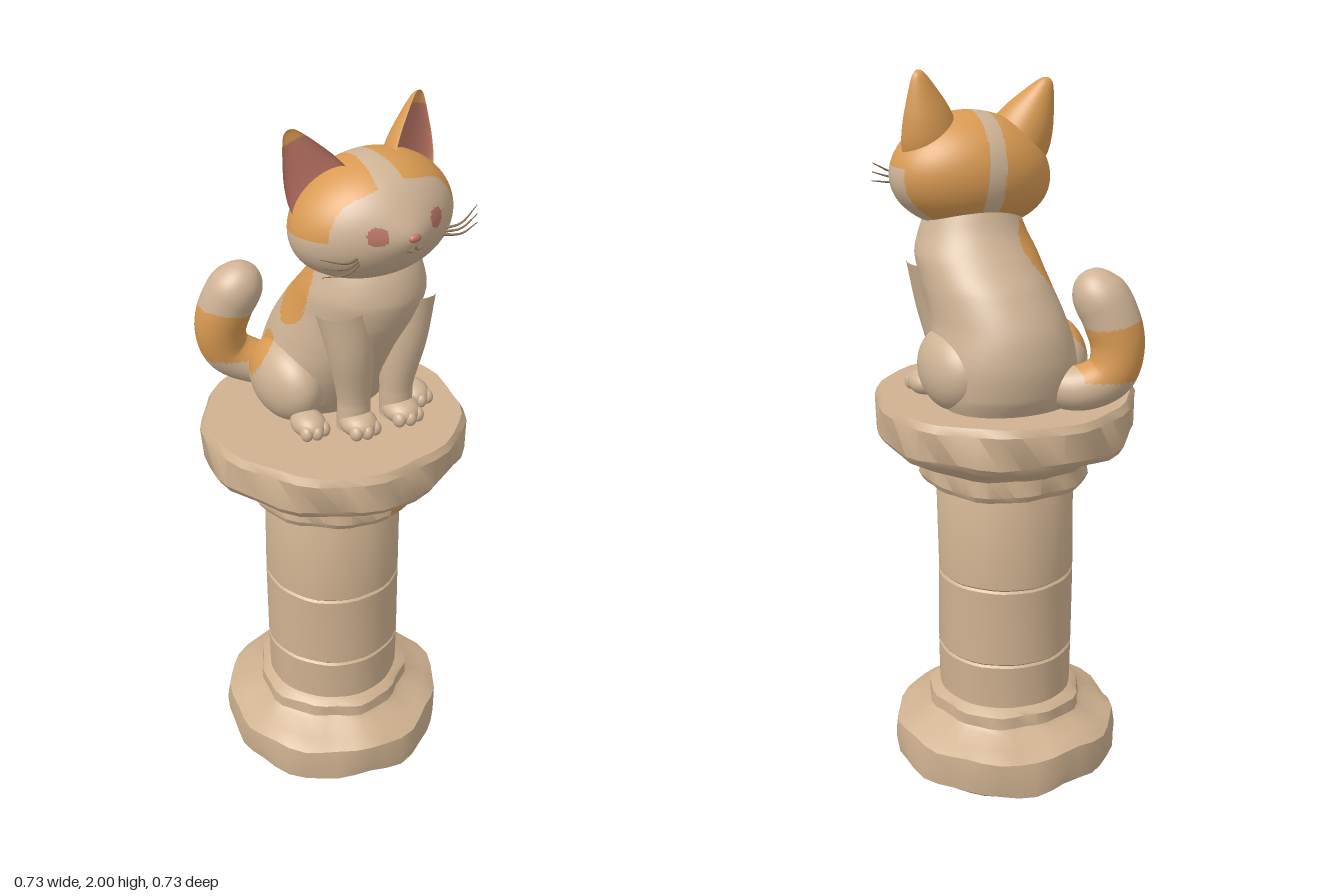
import * as THREE from 'three';
import { mergeVertices, toCreasedNormals } from 'three/addons/utils/BufferGeometryUtils.js';

const material = (name, color, side = THREE.FrontSide) => {
  const m = new THREE.MeshStandardMaterial({ color, side });
  m.name = name;
  return m;
};

// Move every vertex by a rule, weld seams and smooth the normals
function reshape(geo, rule) {
  const p = geo.attributes.position, v = new THREE.Vector3();
  for (let i = 0; i < p.count; i++) {
    v.fromBufferAttribute(p, i);
    rule(v, i);
    p.setXYZ(i, v.x, v.y, v.z);
  }
  geo.deleteAttribute('uv');
  geo.deleteAttribute('normal');
  const out = mergeVertices(geo, 1e-5);
  out.computeVertexNormals();
  return out;
}

// Sort faces into material groups; rule(centroid) returns a material slot
function paint(geo, slots, rule) {
  const p = geo.attributes.position, idx = geo.index.array;
  const lists = Array.from({ length: slots }, () => []);
  const a = new THREE.Vector3(), c = new THREE.Vector3();
  for (let i = 0; i < idx.length; i += 3) {
    c.set(0, 0, 0);
    for (let k = 0; k < 3; k++) c.add(a.fromBufferAttribute(p, idx[i + k]));
    lists[rule(c.divideScalar(3))].push(idx[i], idx[i + 1], idx[i + 2]);
  }
  geo.setIndex(lists.flat());
  geo.clearGroups();
  let start = 0;
  lists.forEach((l, s) => { geo.addGroup(start, l.length, s); start += l.length; });
  return geo;
}

// Tube along points whose radius follows radius(t)
function limb(points, radius, n = 48, sides = 24) {
  const curve = new THREE.CatmullRomCurve3(points.map(q => new THREE.Vector3(...q)));
  const geo = new THREE.TubeGeometry(curve, n, 1, sides);
  return reshape(geo, (v, i) => {
    const t = Math.floor(i / (sides + 1)) / n, c = curve.getPointAt(t);
    v.sub(c).multiplyScalar(radius(t)).add(c);
  });
}

const inside = (p, c, r) =>
  ((p.x - c[0]) / r[0]) ** 2 + ((p.y - c[1]) / r[1]) ** 2 + ((p.z - c[2]) / r[2]) ** 2 < 1;

export function createModel() {
  const model = new THREE.Group();
  const stone = material('stone', 0xcfb190);
  const fur = material('cream fur', 0xcfb395);
  const orange = material('orange fur', 0xd99a52);
  const pink = material('pink', 0xbd7565);
  const brown = material('whisker brown', 0x8f755a);
  const rust = material('rust stain', 0xcb9459, THREE.DoubleSide);

  const add = (parent, name, geo, mat, pos = [0, 0, 0], scale = [1, 1, 1]) => {
    const m = new THREE.Mesh(geo, mat);
    m.name = name;
    m.position.set(...pos);
    m.scale.set(...scale);
    parent.add(m);
    return m;
  };

  // Weathered stone pedestal: plinth, jointed shaft and capital
  const profile = [[0, 0], [0.29, 0], [0.32, 0.02], [0.325, 0.07], [0.32, 0.125], [0.285, 0.148],
    [0.235, 0.168], [0.222, 0.18], [0.22, 0.215], [0.205, 0.226], [0.193, 0.232], [0.195, 0.36], [0.189, 0.366],
    [0.195, 0.372], [0.194, 0.594], [0.188, 0.6], [0.194, 0.606], [0.194, 0.865], [0.19, 0.875],
    [0.225, 0.882], [0.235, 0.9], [0.232, 0.945], [0.25, 0.958], [0.3, 0.985], [0.345, 1.008], [0.36, 1.03],
    [0.362, 1.115], [0.35, 1.135], [0.2, 1.136], [0, 1.136]].map(q => new THREE.Vector2(...q));
  const pedestal = reshape(new THREE.LatheGeometry(profile, 40), v => {
    const a = Math.atan2(v.x, v.z), r = Math.hypot(v.x, v.z);
    if (r < 1e-4) return;
    const rough = r > 0.21 ? 0.009 : 0.002;
    const k = 1 + rough / r * (Math.sin(5 * a + 9 * v.y) + 0.8 * Math.sin(11 * a - 14 * v.y)) * 0.6;
    v.x *= k;
    v.z *= k;
    if (r > 0.24 && v.y > 0.01 && v.y < 1.1) v.y += 0.006 * Math.sin(7 * a + r * 30);
  });
  add(model, 'pedestal', toCreasedNormals(pedestal, 0.55), stone);
  add(model, 'capitalStain', new THREE.CylinderGeometry(0.247, 0.244, 0.045, 10, 1, true, 0.18, 0.36), rust, [0, 0.918, 0]);

  // Seated torso from cross-sections: y, centre x, back z, front z, half width
  const cat = new THREE.Group();
  cat.name = 'cat';
  model.add(cat);
  const rings = [[1.12, 0.035, -0.235, 0.02, 0.175], [1.18, 0.035, -0.265, 0.06, 0.195], [1.27, 0.04, -0.275, 0.11, 0.195],
    [1.36, 0.045, -0.255, 0.155, 0.178], [1.45, 0.06, -0.2, 0.195, 0.17], [1.52, 0.068, -0.135, 0.212, 0.165],
    [1.58, 0.07, -0.085, 0.2, 0.145], [1.65, 0.07, -0.05, 0.165, 0.12]];
  const spine = new THREE.CatmullRomCurve3(rings.map(r => new THREE.Vector3(r[1], r[0], (r[2] + r[3]) / 2)));
  const girth = new THREE.CatmullRomCurve3(rings.map(r => new THREE.Vector3(r[4], 0, (r[3] - r[2]) / 2)));
  const torso = reshape(new THREE.CylinderGeometry(1, 1, 1, 96, 72, true), v => {
    const t = v.y + 0.5, c = spine.getPoint(t), g = girth.getPoint(t);
    v.set(c.x + v.x * g.x, c.y, c.z + v.z * g.z);
  });
  const patch = p => inside(p, [-0.09, 1.52, -0.05], [0.09, 0.12, 0.09])
    || inside(p, [-0.175, 1.31, -0.12], [0.07, 0.07, 0.06]) ? 1 : 0;
  add(cat, 'torso', paint(torso, 2, patch), [fur, orange]);

  const ball = new THREE.SphereGeometry(1, 28, 18);
  for (const s of [1, -1]) {
    const side = s > 0 ? 'left' : 'right';
    // Thighs, front legs and paws with toes
    const thigh = reshape(new THREE.SphereGeometry(1, 56, 40), v =>
      v.set(0.035 + s * 0.145 + v.x * 0.088, 1.235 + v.y * 0.115, -0.06 + v.z * 0.14));
    add(cat, side + 'Thigh', paint(thigh, 2, patch), [fur, orange]);
    const x = 0.065 + s * 0.068;
    add(cat, side + 'FrontLeg', limb([[x + s * 0.03, 1.5, 0.11], [x + s * 0.016, 1.38, 0.122], [x, 1.25, 0.115], [x, 1.14, 0.115]],
      t => 0.075 - 0.03 * Math.min(1, t * 1.3)), fur);
    for (const [name, px, pz, w] of [['FrontPaw', x, 0.14, 0.05], ['HindPaw', 0.045 + s * 0.165, 0.075, 0.045]]) {
      add(cat, side + name, ball, fur, [px, 1.163, pz], [w, 0.036, 0.058]);
      for (const k of [-1, 0, 1])
        add(cat, side + name + 'Toe', ball, fur, [px + k * w * 0.58, 1.156, pz + 0.045 - Math.abs(k) * 0.008], [0.017, 0.022, 0.021]);
    }
  }

  // Upright curled tail with one orange band
  const tail = limb([[-0.02, 1.2, -0.17], [-0.11, 1.195, -0.245], [-0.175, 1.235, -0.28], [-0.195, 1.31, -0.28],
    [-0.175, 1.4, -0.262], [-0.145, 1.46, -0.24], [-0.125, 1.505, -0.225]], t => {
    const k = Math.max(0, (t - 0.8) / 0.2);
    return (0.055 + 0.02 * Math.min(1, t * 1.5)) * Math.sqrt(Math.max(0, 1 - k * k));
  }, 90, 36);
  add(cat, 'tail', paint(tail, 2, p => p.y > 1.225 && p.y < 1.375 - (p.x + 0.19) * 0.2 && p.x < -0.09 ? 1 : 0), [fur, orange]);

  // Head with painted cap, pale centre stripe and pink cheeks
  const head = new THREE.Group();
  head.name = 'head';
  head.position.set(0.065, 1.733, 0.08);
  head.rotation.z = 0.09;
  cat.add(head);
  const skull = reshape(new THREE.SphereGeometry(1, 160, 110), v => {
    const bump = v.z > 0 ? 0.018 * Math.exp(-(v.x * v.x * 9 + v.y * v.y * 9)) : 0;
    const taper = 1 - 0.1 * v.y - 0.1 * Math.max(0, v.z);
    v.set(v.x * 0.225 * taper, v.y * 0.157, v.z > 0 ? v.z * 0.182 + bump : v.z * 0.165);
  });
  const headColour = p => {
    const ax = Math.abs(p.x);
    if (p.z > 0.08 && Math.hypot(ax - 0.084, p.y - 0.018) < 0.024) return 2;
    const stripe = 0.024 + Math.max(0, p.z) * 0.12;
    const cap = p.y > 0.005 && p.z < 0.105 + 0.012 * Math.sin(ax * 30);
    return Math.abs(p.x + 0.008) > stripe && (cap || p.z < -0.06) ? 1 : 0;
  };
  add(head, 'skull', paint(skull, 3, headColour), [fur, orange, pink]);
  add(head, 'nose', ball, pink, [0, 0.002, 0.198], [0.017, 0.011, 0.01]);

  // Cupped ears, pink inside
  const earProfile = [[0.088, 0], [0.085, 0.04], [0.07, 0.09], [0.047, 0.14], [0.027, 0.178], [0.014, 0.196], [0, 0.202]];
  const earCurve = new THREE.SplineCurve(earProfile.map(q => new THREE.Vector2(...q)));
  const makeEar = () => {
    const geo = reshape(new THREE.LatheGeometry(earCurve.getPoints(36), 64), v => {
      v.z *= v.z > 0 ? -0.3 : 1;
    });
    const n = geo.attributes.normal;
    const idx = Array.from(geo.index.array), front = new Set();
    for (let i = 0; i < n.count; i++) if (n.getZ(i) > 0.1) front.add(i);
    const inner = idx.filter((_, i) => {
      const f = i - i % 3;
      return front.has(idx[f]) && front.has(idx[f + 1]) && front.has(idx[f + 2])
        && geo.attributes.position.getY(idx[f]) < 0.17;
    });
    const outer = idx.filter((_, i) => {
      const f = i - i % 3;
      return !(front.has(idx[f]) && front.has(idx[f + 1]) && front.has(idx[f + 2])
        && geo.attributes.position.getY(idx[f]) < 0.17);
    });
    geo.setIndex([...outer, ...inner]);
    geo.addGroup(0, outer.length, 0);
    geo.addGroup(outer.length, inner.length, 1);
    return geo;
  };
  const earGeo = makeEar();
  for (const s of [1, -1]) {
    const side = s > 0 ? 'left' : 'right';
    const ear = add(head, side + 'Ear', earGeo, [orange, pink], [s * 0.128, 0.066, 0.005]);
    ear.rotation.set(-0.12, s * 0.4, -s * 0.33);
    // Mouth curve and whiskers
    add(head, side + 'Mouth', limb([[0, -0.02, 0.197], [s * 0.008, -0.032, 0.195], [s * 0.022, -0.028, 0.193]],
      () => 0.0025, 10, 6), brown);
    for (const k of [-1, 0, 1])
      add(head, side + 'Whisker', limb([[s * 0.115, -0.045 + k * 0.008, 0.13], [s * 0.165, -0.045 + k * 0.014, 0.15],
        [s * 0.228, -0.03 + k * 0.024, 0.135]], t => 0.0045 * (1 - 0.75 * t), 16, 6), brown);
  }
  return model;
}
